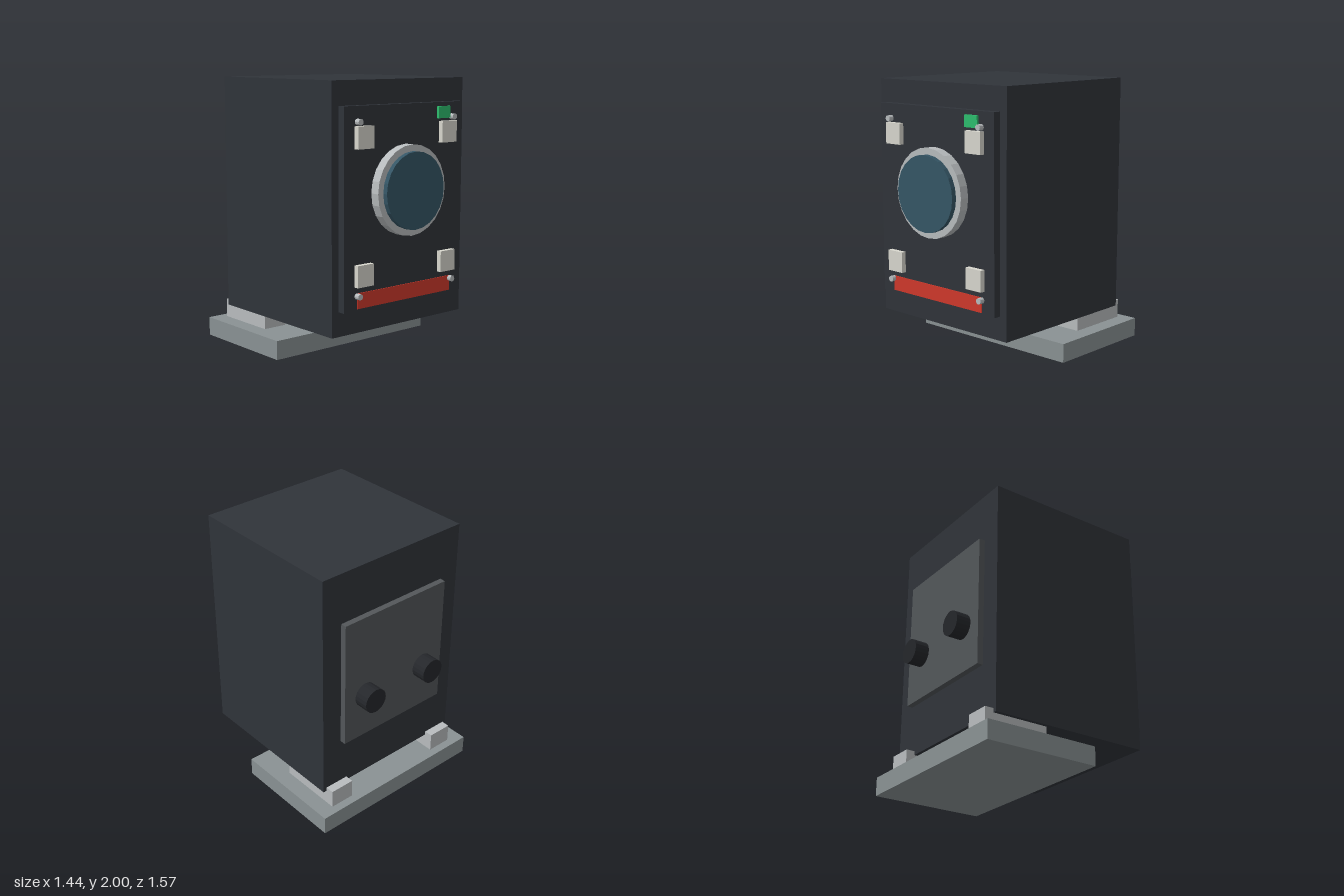
import * as THREE from 'three';

const mat = (color) => new THREE.MeshStandardMaterial({ color, flatShading: true });

export function createModel() {
  const group = new THREE.Group();
  const dark = mat(0x30343a), silver = mat(0xb9bdbf), cream = mat(0xd9d8cf), black = mat(0x25272b);

  // box given by its extents on each axis
  const box = (name, material, [x0, x1], [y0, y1], [z0, z1]) => {
    const mesh = new THREE.Mesh(new THREE.BoxGeometry(x1 - x0, y1 - y0, z1 - z0), material);
    mesh.position.set((x0 + x1) / 2, (y0 + y1) / 2, (z0 + z1) / 2);
    mesh.name = name;
    group.add(mesh);
  };

  // disc whose axis runs along z
  const disc = (name, material, r, x, y, z0, z1, sides) => {
    const geometry = new THREE.CylinderGeometry(r, r, z1 - z0, sides).rotateX(Math.PI / 2);
    const mesh = new THREE.Mesh(geometry, material);
    mesh.position.set(x, y, (z0 + z1) / 2);
    mesh.name = name;
    group.add(mesh);
  };

  // cabinet and raised panels
  box('cabinet', dark, [-0.625, 0.625], [0.25, 2], [-0.63, 0.62]);
  box('frontPanel', dark, [-0.565, 0.565], [0.425, 1.83], [0.62, 0.678]);
  box('backPanel', mat(0x53575a), [-0.465, 0.465], [0.64, 1.62], [-0.675, -0.63]);

  // round window
  disc('windowRing', silver, 0.322, 0, 1.23, 0.67, 0.748, 24);
  disc('windowGlass', mat(0x355666), 0.275, 0, 1.23, 0.7, 0.785, 24);

  // warning strip and indicator
  box('redStrip', mat(0xd0392b), [-0.45, 0.45], [0.44, 0.55], [0.67, 0.685]);
  box('greenIndicator', mat(0x2dbf6e), [0.305, 0.425], [1.715, 1.8], [0.67, 0.697]);

  for (const side of [-1, 1]) {
    const x = side * 0.4;
    // corner pads and pins
    for (const y of [0.672, 1.618])
      box('cornerPad', cream, [x - 0.073, x + 0.073], [y - 0.077, y + 0.077], [0.67, 0.715]);
    for (const y of [0.53, 1.723])
      disc('cornerPin', silver, 0.022, side * 0.45, y, 0.67, 0.717, 12);

    // rear connectors
    disc('rearConnector', black, 0.093, side * 0.277, 0.988, -0.785, -0.67, 20);

    // support rails
    const rx = side * 0.502;
    box('supportRail', silver, [rx - 0.095, rx + 0.095], [0.14, 0.28], [-0.695, -0.195]);
  }

  // base slab
  box('base', mat(0x8a9294), [-0.72, 0.72], [0, 0.14], [-0.757, 0.12]);
  return group;
}
